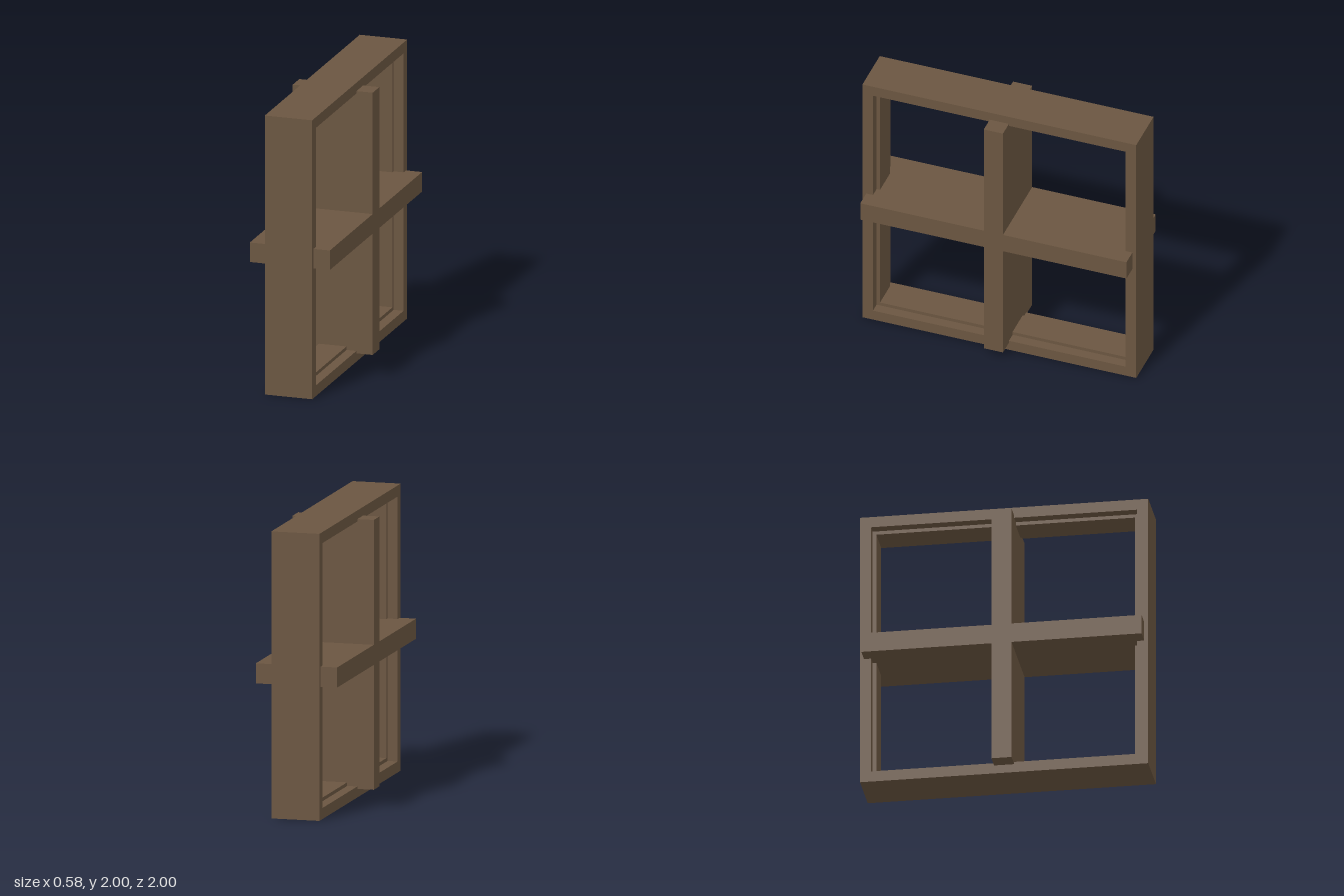
import * as THREE from 'three';

export function createModel() {
  const group = new THREE.Group();
  const wood = new THREE.MeshStandardMaterial({ color: 0x6b5641, flatShading: true });
  wood.name = 'brown wood';

  // Mitred square frame: a grooved profile swept round four sides
  const outer = 1, inner = 0.923, groove = 0.898, half = 0.172, lip = 0.1;
  const profile = [
    [outer, -half], [outer, half], [inner, half], [inner, lip],
    [groove, lip], [groove, -lip], [inner, -lip], [inner, -half], [outer, -half],
  ].map(([r, x]) => new THREE.Vector2(r * Math.SQRT2, x));
  const frameGeometry = new THREE.LatheGeometry(profile, 4, Math.PI / 4);
  frameGeometry.rotateZ(-Math.PI / 2);
  const frame = new THREE.Mesh(frameGeometry, wood);
  frame.name = 'outerFrame';
  frame.position.y = 1;
  group.add(frame);

  // Crossed dividers, wider than the frame, let into its grooves
  const b = 0.07, armZ = 0.972, armY = 0.94, depth = 0.58;
  const cross = new THREE.Shape([
    [b, b], [b, armY], [-b, armY], [-b, b], [-armZ, b], [-armZ, -b],
    [-b, -b], [-b, -armY], [b, -armY], [b, -b], [armZ, -b], [armZ, b],
  ].map(([z, y]) => new THREE.Vector2(z, y)));
  const crossGeometry = new THREE.ExtrudeGeometry(cross, { depth, bevelEnabled: false });
  crossGeometry.translate(0, 0, -depth / 2).rotateY(Math.PI / 2);
  const dividers = new THREE.Mesh(crossGeometry, wood);
  dividers.name = 'crossDividers';
  dividers.position.y = 1;
  group.add(dividers);

  return group;
}
